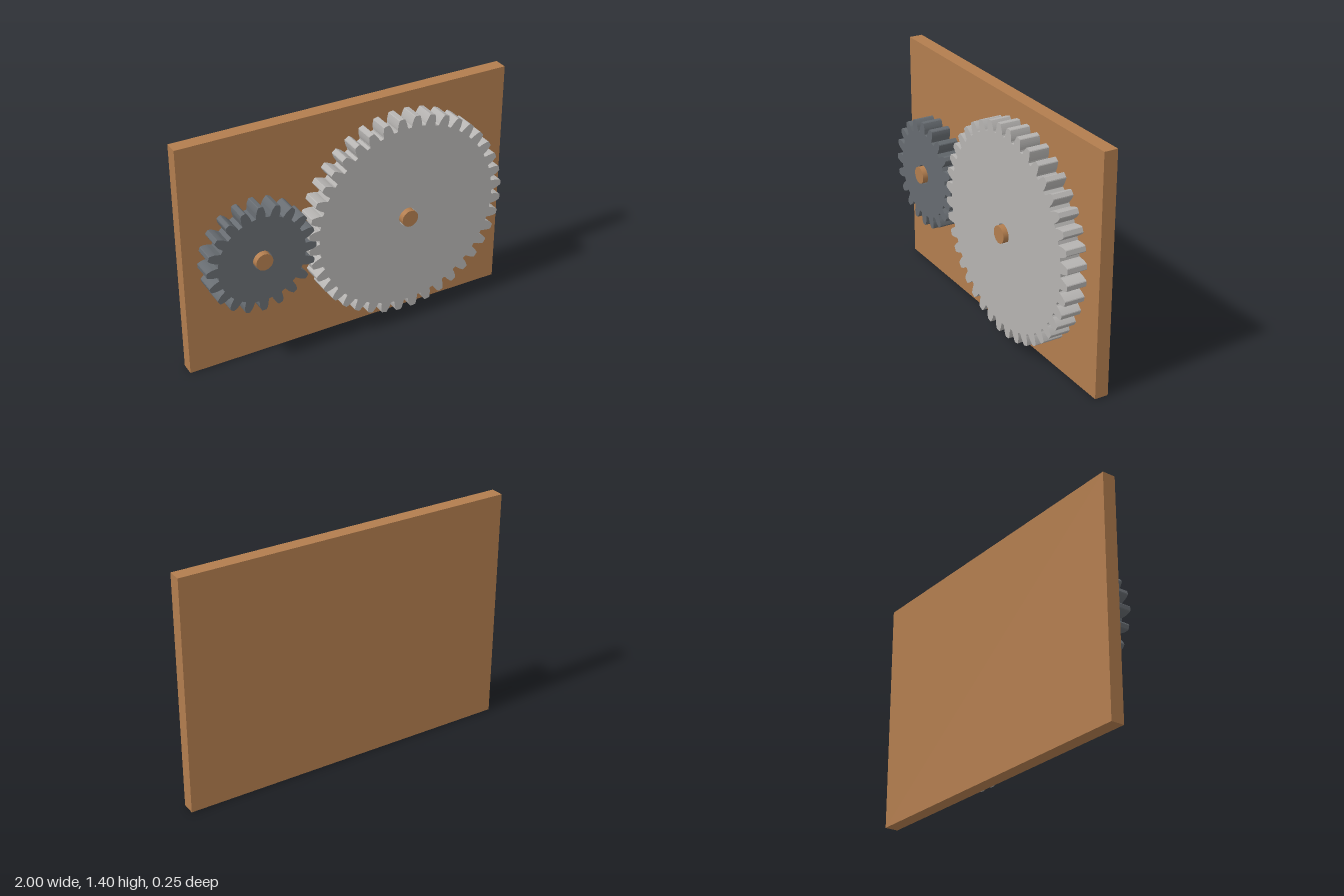
import * as THREE from 'three';

const AXIS_Y = 0.7;       // height of both axles
const PRESSURE = THREE.MathUtils.degToRad(20);
const inv = (a) => Math.tan(a) - a;

// Spur gear outline with involute flanks and a round bore
function gearShape(teeth, pitchR, rootR, tipR, boreR, phase) {
  const baseR = pitchR * Math.cos(PRESSURE);
  const halfAngle = (r) =>
    Math.PI / (2 * teeth) + inv(PRESSURE) - inv(Math.acos(Math.min(1, baseR / r)));
  const steps = 6;
  const flank = [[rootR, halfAngle(rootR) + 0.004 / rootR]];
  const startR = Math.max(baseR, rootR + 0.006);
  for (let i = 0; i <= steps; i++) {
    const r = startR + (tipR - 0.003 - startR) * (i / steps);
    flank.push([r, halfAngle(r)]);
  }
  flank.push([tipR, halfAngle(tipR) - 0.003 / tipR]);

  const points = [];
  const add = (r, a) => points.push(new THREE.Vector2(r * Math.cos(a), r * Math.sin(a)));
  for (let t = 0; t < teeth; t++) {
    const mid = phase + (t / teeth) * Math.PI * 2;
    flank.forEach(([r, h]) => add(r, mid - h));
    [...flank].reverse().forEach(([r, h]) => add(r, mid + h));
  }
  const shape = new THREE.Shape(points);
  shape.holes.push(new THREE.Path().absarc(0, 0, boreR, 0, Math.PI * 2, true));
  return shape;
}

export function createModel() {
  const wood = new THREE.MeshStandardMaterial({ name: 'wood', color: 0xb27d4e });
  const darkSteel = new THREE.MeshStandardMaterial({ name: 'dark steel', color: 0x666b70 });
  const lightSteel = new THREE.MeshStandardMaterial({ name: 'light steel', color: 0xb5b3b1 });

  const model = new THREE.Group();
  model.name = 'gearPair';

  const add = (name, geometry, material, x, y, z) => {
    const mesh = new THREE.Mesh(geometry, material);
    mesh.name = name;
    mesh.position.set(x, y, z);
    model.add(mesh);
  };
  // Cylinder lying along z between two depths
  const disc = (name, r, z0, z1, x) =>
    add(name, new THREE.CylinderGeometry(r, r, z1 - z0, 48).rotateX(Math.PI / 2),
      wood, x, AXIS_Y, (z0 + z1) / 2);

  // Backing board
  add('backBoard', new THREE.BoxGeometry(2, 1.4, 0.08), wood, 0, 0.7, -0.084);

  // Each gear sits on a spacer and turns on an axle
  const gears = [
    { name: 'small', x: -0.6, teeth: 20, pitch: 0.3, root: 0.26, tip: 0.325, phase: 0, material: darkSteel },
    { name: 'large', x: 0.3, teeth: 40, pitch: 0.6, root: 0.556, tip: 0.62, phase: Math.PI / 40, material: lightSteel },
  ];
  for (const g of gears) {
    const shape = gearShape(g.teeth, g.pitch, g.root, g.tip, 0.056, g.phase);
    const body = new THREE.ExtrudeGeometry(shape, { depth: 0.118, bevelEnabled: false, curveSegments: 32 });
    add(g.name + 'Gear', body, g.material, g.x, AXIS_Y, -0.022);
    disc(g.name + 'Spacer', 0.0875, -0.046, -0.023, g.x);
    disc(g.name + 'Axle', 0.05, -0.046, 0.124, g.x);
  }
  return model;
}
